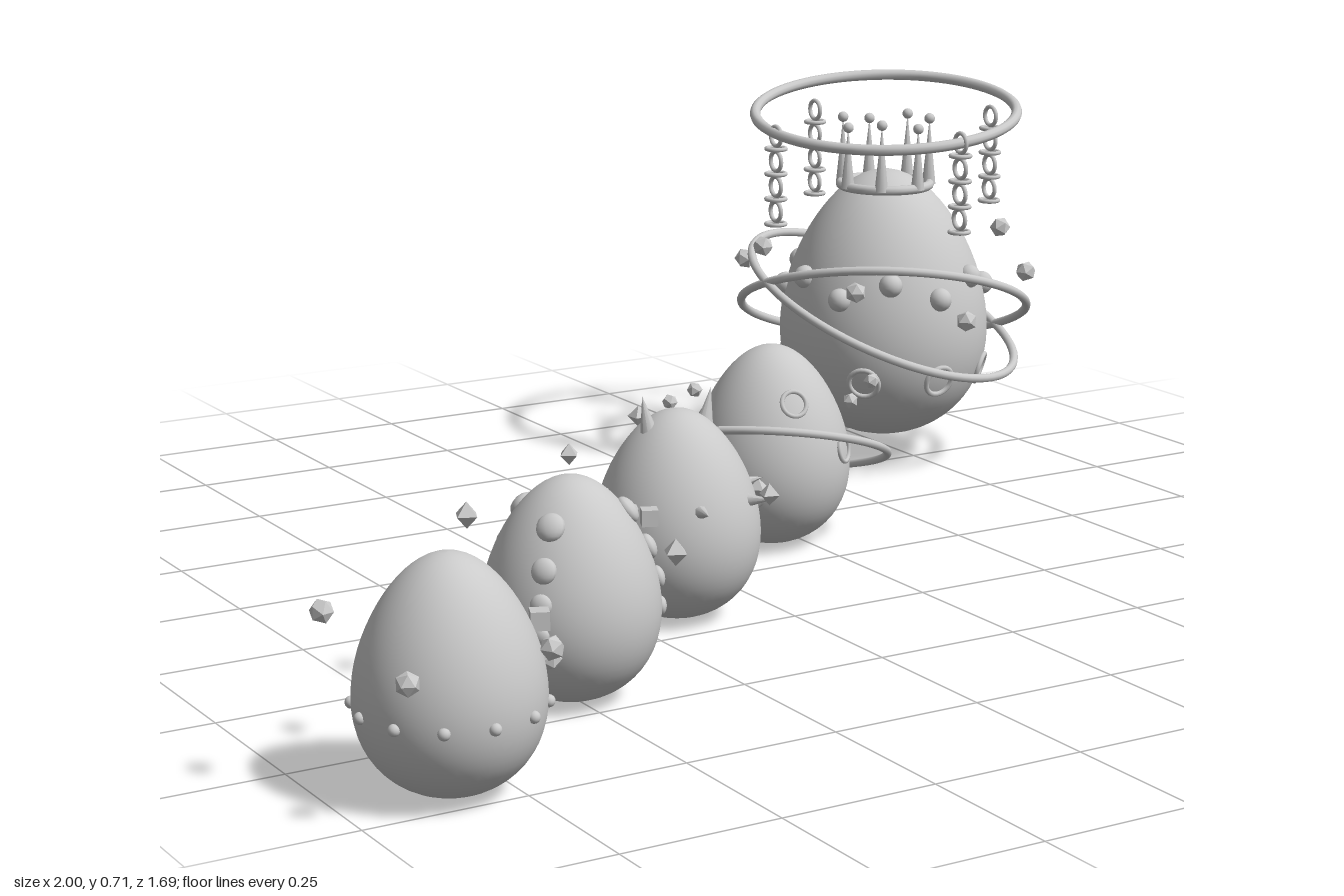
import * as THREE from 'three';

const stone = new THREE.MeshStandardMaterial({ color: 0xcacaca });
stone.name = 'stone grey';
const UP = new THREE.Vector3(0, 1, 0);
const FWD = new THREE.Vector3(0, 0, 1);
const rad = THREE.MathUtils.degToRad;
const TAPER = 0.2;

function add(parent, name, geometry, x = 0, y = 0, z = 0) {
  const mesh = new THREE.Mesh(geometry, stone);
  mesh.name = name;
  mesh.position.set(x, y, z);
  parent.add(mesh);
  return mesh;
}

// Egg with its base at y0: a stretched sphere that narrows towards the top
function makeEgg(root, name, x, z, r, h, y0 = 0) {
  const g = new THREE.Group();
  g.name = name;
  g.position.set(x, 0, z);
  root.add(g);
  const half = h / 2, mid = y0 + half, profile = [];
  for (let i = 0; i <= 32; i++) {
    const a = -Math.PI / 2 + (Math.PI * i) / 32, t = Math.sin(a);
    profile.push(new THREE.Vector2(Math.max(0, Math.cos(a)) * (1 - TAPER * t) * r, mid + half * t));
  }
  add(g, 'eggShell', new THREE.LatheGeometry(profile, 48));
  // Point and outward normal on the shell at an angle and height
  const radiusAt = (y) => {
    const t = (y - mid) / half;
    return Math.sqrt(Math.max(0, 1 - t * t)) * (1 - TAPER * t) * r;
  };
  const surface = (deg, y) => {
    const a = rad(deg), q = radiusAt(y);
    const slope = (radiusAt(y + 0.002) - radiusAt(y - 0.002)) / 0.004;
    return {
      p: new THREE.Vector3(Math.cos(a) * q, y, Math.sin(a) * q),
      n: new THREE.Vector3(Math.cos(a), -slope, Math.sin(a)).normalize(),
    };
  };
  return { g, surface };
}

function bump(egg, name, deg, y, r, flat = 1) {
  const { p, n } = egg.surface(deg, y);
  const m = add(egg.g, name, new THREE.SphereGeometry(r, 14, 10), p.x, p.y, p.z);
  m.quaternion.setFromUnitVectors(FWD, n);
  m.scale.z = flat;
}

function crater(egg, deg, y, r, tube) {
  const { p, n } = egg.surface(deg, y);
  const m = add(egg.g, 'craterRim', new THREE.TorusGeometry(r, tube, 8, 24), p.x, p.y, p.z);
  m.quaternion.setFromUnitVectors(FWD, n);
}

// Ring lying in the plane y = cy + sx * x + sz * z
function tiltedRing(egg, name, cy, R, tube, sx, sz) {
  const m = add(egg.g, name, new THREE.TorusGeometry(R, tube, 10, 80), 0, cy, 0);
  m.quaternion.setFromUnitVectors(FWD, new THREE.Vector3(-sx, 1, -sz).normalize());
}

function floating(egg, geometry, deg, dist, y) {
  const m = add(egg.g, 'floatingGem', geometry, Math.cos(rad(deg)) * dist, y, Math.sin(rad(deg)) * dist);
  m.rotation.y = rad(deg * 0.5);
}

export function createModel() {
  const root = new THREE.Group();
  root.name = 'eggRow';
  const gem = (r) => new THREE.IcosahedronGeometry(r, 0);

  // Studded egg
  const e1 = makeEgg(root, 'studdedEgg', -0.833, 0.682, 0.132, 0.342);
  for (let i = 0; i < 12; i++) bump(e1, 'stud', i * 30, 0.13, 0.009);
  [0.155, 0.235, 0.21, 0.262, 0.255].forEach((y, i) => floating(e1, gem(0.018), -9 + i * 72, 0.17, y));

  // Egg with three strands of scales
  const e2 = makeEgg(root, 'scaledEgg', -0.5, 0.416, 0.132, 0.342);
  for (const deg of [21, 138, 243]) {
    [0.285, 0.228, 0.18, 0.135].forEach((y, i) => bump(e2, 'scale', deg, y, 0.022 - i * 0.0025, 0.6));
  }
  [0.235, 0.17, 0.27, 0.262].forEach((y, i) => {
    const shape = i % 2 ? new THREE.BoxGeometry(0.028, 0.028, 0.028) : new THREE.OctahedronGeometry(0.021);
    floating(e2, shape, 45 + i * 90, 0.16, y);
  });

  // Spiked egg with two horns
  const e3 = makeEgg(root, 'spikedEgg', -0.157, 0.143, 0.132, 0.342);
  for (let i = 0; i < 7; i++) {
    const { p, n } = e3.surface((i * 360) / 7, 0.203);
    n.y = 0.1;
    n.normalize();
    const m = add(e3.g, 'spike', new THREE.ConeGeometry(0.012, 0.045, 8));
    m.position.copy(p).addScaledVector(n, 0.015);
    m.quaternion.setFromUnitVectors(UP, n);
  }
  for (const s of [-1, 1]) {
    const horn = add(e3.g, s > 0 ? 'leftHorn' : 'rightHorn', new THREE.ConeGeometry(0.02, 0.085, 10), s * 0.055, 0.328, 0);
    horn.rotation.z = -s * 0.2;
  }
  [0.18, 0.225, 0.21, 0.27, 0.29].forEach((y, i) => {
    const shape = i === 2 ? new THREE.BoxGeometry(0.026, 0.026, 0.026) : new THREE.OctahedronGeometry(0.018);
    floating(e3, shape, -9 + i * 72, 0.172, y);
  });

  // Cratered egg with one orbit ring
  const e4 = makeEgg(root, 'crateredEgg', 0.203, -0.146, 0.134, 0.35);
  const craters = [[136, 0.118], [53, 0.177], [100, 0.267], [4, 0.165], [-35, 0.235], [200, 0.22], [270, 0.14]];
  for (const [deg, y] of craters) crater(e4, deg, y, 0.022, 0.004);
  tiltedRing(e4, 'orbitRing', 0.165, 0.202, 0.007, -0.26, 0.33);
  [[15, 0.273], [75, 0.28], [195, 0.26], [254, 0.24]].forEach(([deg, y]) => floating(e4, gem(0.014), deg, 0.182, y));

  // Large crowned egg
  const e5 = makeEgg(root, 'crownedEgg', 0.709, -0.549, 0.194, 0.51, 0.045);
  for (let i = 0; i < 12; i++) bump(e5, 'bead', i * 30, i % 2 ? 0.335 : 0.365, 0.022);
  const gemHeights = [0.417, 0.37, 0.31, 0.37, 0.433, 0.37, 0.28, 0.38];
  gemHeights.forEach((y, i) => {
    crater(e5, i * 45, 0.18, 0.028, 0.005);
    floating(e5, gem(0.02), i * 45, 0.272, y);
  });
  for (const s of [-1, 1]) tiltedRing(e5, 'orbitRing', 0.295, 0.272, 0.008, -0.26, s * 0.37);

  // Crown: collar and ball-tipped spikes
  const collar = add(e5.g, 'crownCollar', new THREE.TorusGeometry(0.084, 0.009, 10, 40), 0, 0.527, 0);
  collar.rotation.x = Math.PI / 2;
  for (let i = 0; i < 7; i++) {
    const a = ((i + 0.5) * Math.PI * 2) / 7, x = Math.cos(a) * 0.084, z = Math.sin(a) * 0.084;
    const h = i % 2 ? 0.115 : 0.125;
    add(e5.g, 'crownSpike', new THREE.ConeGeometry(0.013, h, 8), x, 0.525 + h / 2, z);
    add(e5.g, 'crownBall', new THREE.SphereGeometry(0.01, 10, 8), x, 0.525 + h, z);
  }

  // Halo and its four hanging chains
  tiltedRing(e5, 'halo', 0.665, 0.246, 0.01, 0.094, -0.115);
  for (let c = 0; c < 4; c++) {
    const a = (c * Math.PI) / 2;
    for (let i = 0; i < 8; i++) {
      const link = add(e5.g, 'chainLink', new THREE.TorusGeometry(0.018, 0.004, 8, 18),
        Math.cos(a) * 0.244, 0.637 - i * 0.0235, Math.sin(a) * 0.244);
      if (i % 2) link.rotation.x = Math.PI / 2;
      else link.rotation.y = Math.PI / 2;
    }
  }
  return root;
}
